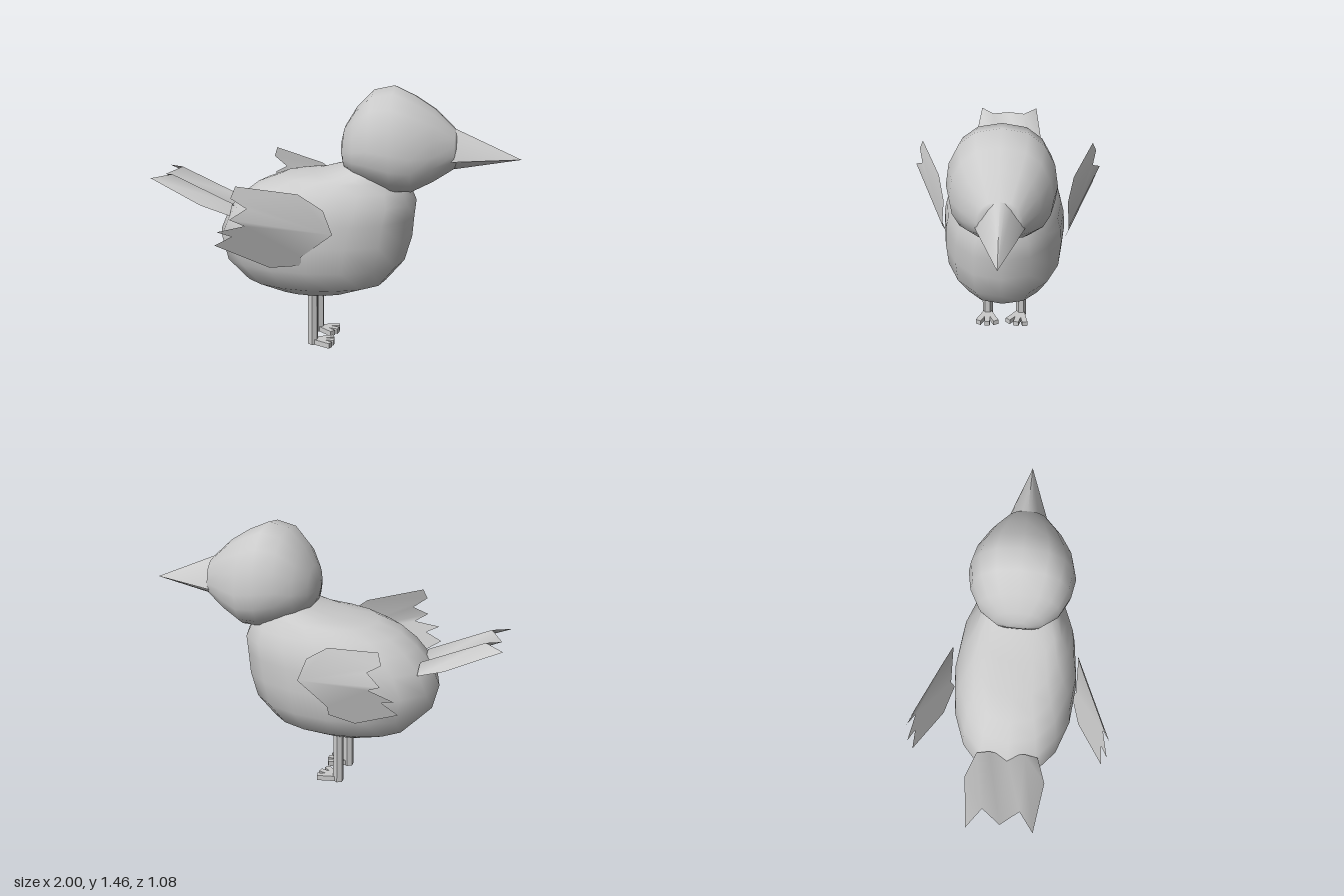
import * as THREE from 'three';
import { mergeGeometries, mergeVertices, toCreasedNormals } from 'three/addons/utils/BufferGeometryUtils.js';

const smooth = new THREE.MeshStandardMaterial({ color: 0xcccccc });
const flat = new THREE.MeshStandardMaterial({ color: 0xcccccc, flatShading: true });
const thin = new THREE.MeshStandardMaterial({ color: 0xcccccc, side: THREE.DoubleSide });
const MID = 0.015; // z of the bird's centre line

function mesh(name, geometry, material) {
  const m = new THREE.Mesh(geometry, material);
  m.name = name;
  return m;
}

// Skin closed rings of equal length (counterclockwise seen from the last one), capping both ends.
function loft(rings) {
  const n = rings[0].length, pos = [], idx = [];
  rings.forEach(r => r.forEach(p => pos.push(...p)));
  for (let i = 0; i < rings.length - 1; i++) {
    for (let j = 0; j < n; j++) {
      const a = i * n + j, b = i * n + (j + 1) % n;
      idx.push(a, b, a + n, b, b + n, a + n);
    }
  }
  [0, rings.length - 1].forEach(i => {
    const c = pos.length / 3;
    pos.push(...[0, 1, 2].map(k => rings[i].reduce((s, p) => s + p[k], 0) / n));
    for (let j = 0; j < n; j++) {
      const a = i * n + j, b = i * n + (j + 1) % n;
      idx.push(...(i ? [c, a, b] : [c, b, a]));
    }
  });
  const g = new THREE.BufferGeometry();
  g.setAttribute('position', new THREE.Float32BufferAttribute(pos, 3));
  g.setIndex(idx);
  g.computeVertexNormals();
  return g;
}

// Sixteen points around a ring; f takes the cosine and sine
const ring16 = f => Array.from({ length: 16 }, (_, j) => f(Math.cos(j * Math.PI / 8), Math.sin(j * Math.PI / 8)));
// Power that keeps the sign: below 1 it makes a rounder, fuller section
const full = (s, e) => Math.sign(s) * Math.abs(s) ** e;

// Body: horizontal sections [y, xBack, xFront, halfWidth]
function body() {
  const rows = [
    [0.28, -0.14, -0.06, 0.03], [0.3, -0.33, 0.1, 0.14], [0.37, -0.5, 0.29, 0.26],
    [0.49, -0.615, 0.39, 0.328], [0.63, -0.65, 0.43, 0.34], [0.75, -0.6, 0.44, 0.333],
    [0.84, -0.52, 0.45, 0.315], [0.91, -0.43, 0.42, 0.275], [0.96, -0.3, 0.4, 0.235],
    [0.98, -0.12, 0.38, 0.21], [1.03, 0.07, 0.34, 0.17], [1.08, 0.16, 0.3, 0.1],
  ];
  return mesh('body', loft(rows.map(([y, x0, x1, w]) => ring16((c, s) =>
    [(x0 + x1) / 2 - (x1 - x0) / 2 * c, y, MID + w * full(s, 0.85)]))), smooth);
}

// Head: upright sections [x, yBottom, yTop, halfWidth], widest below the middle
function head() {
  const rows = [
    [0.04, 1.08, 1.16, 0.05], [0.06, 1.02, 1.24, 0.13], [0.12, 0.98, 1.34, 0.215],
    [0.21, 0.94, 1.435, 0.265], [0.32, 0.9, 1.46, 0.285], [0.43, 0.9, 1.41, 0.262],
    [0.54, 0.955, 1.34, 0.2], [0.65, 1.025, 1.235, 0.115], [0.66, 1.04, 1.21, 0.09],
  ];
  return mesh('head', loft(rows.map(([x, y0, y1, w]) => ring16((c, s) => {
    const h = y1 - y0;
    return [x, y0 + 0.42 * h + (c > 0 ? 0.58 : 0.42) * h * c, MID + w * full(s, c > 0 ? 0.8 : 0.6)];
  }))), smooth);
}

// Half cone from the face to the tip; profile is [z, y] across the base
function beakHalf(name, profile) {
  const ring = (x, k) => profile.map(([z, y]) => [x, 1.08 + y * k, MID + z * k]);
  return mesh(name, toCreasedNormals(loft([ring(0.62, 1.1), ring(0.66, 1), ring(1, 0.005)]), 0.9), smooth);
}

// Flat [x, y] outlines sharing edges, bent into place by a rule returning [x, y, z]
function panels(name, outlines, bend) {
  const parts = outlines.map(o => {
    const g = new THREE.ShapeGeometry(new THREE.Shape(o.map(p => new THREE.Vector2(...p))));
    g.deleteAttribute('uv');
    g.deleteAttribute('normal');
    const p = g.attributes.position;
    for (let i = 0; i < p.count; i++) p.setXYZ(i, ...bend(p.getX(i), p.getY(i)));
    return g;
  });
  const g = mergeVertices(mergeGeometries(parts));
  g.computeVertexNormals();
  return mesh(name, g, thin);
}

// Wing: two panels folded along a ridge from shoulder to middle feather
function wing(name, side) {
  const root = [0.04, 0.717], tip = [-0.46, 0.83];
  const upper = [root, [-0.01, 0.845], [-0.136, 0.936], [-0.436, 0.995], [-0.457, 0.936], [-0.38, 0.88], tip];
  const lower = [root, tip, [-0.39, 0.79], [-0.53, 0.76], [-0.46, 0.73], [-0.55, 0.68],
    [-0.29, 0.53], [-0.13, 0.535], [-0.125, 0.59]];
  return panels(name, [upper, lower], (x, y) => {
    const d = y - (root[1] - 0.226 * (x - root[0]));
    const fold = d > 0 ? 0.23 * d : -0.36 * d;
    return [x, y, 0.005 + side * (0.35 - 0.38 * (x - 0.04) - fold)];
  });
}

// Tail: four strips, creased along the notches between three feathers
function tail() {
  const half = [
    [[-0.56, 0], [-0.56, 0.095], [-0.9, 0.095], [-0.97, 0]],
    [[-0.56, 0.095], [-0.56, 0.165], [-0.71, 0.21], [-1, 0.17], [-0.9, 0.095]],
  ];
  const all = half.concat(half.map(o => o.map(([x, z]) => [x, -z])));
  return panels('tail', all, (x, z) => {
    const raise = Math.max(0, 1 - Math.abs(Math.abs(z) - 0.095) / 0.075) * 0.055;
    return [x, 0.94 - 0.455 * (x + 1) + raise, MID - 0.005 + z];
  });
}

// Leg with a foot of three toes
function leg(name, z, turn) {
  const group = new THREE.Group();
  group.name = name;
  group.position.set(-0.11, 0, z);
  const shank = mesh('shank', new THREE.CylinderGeometry(0.03, 0.03, 0.36, 6), flat);
  shank.position.y = 0.18;
  group.add(shank);
  [-0.45, 0, 0.45].forEach(a => {
    const g = new THREE.BoxGeometry(0.125, 0.03, 0.032);
    g.translate(0.058, 0.015, 0);
    const toe = mesh('toe', g, flat);
    toe.rotation.y = a + turn;
    group.add(toe);
  });
  return group;
}

export function createModel() {
  const bird = new THREE.Group();
  bird.name = 'bird';
  bird.add(body(), head());
  bird.add(beakHalf('upperBeak', [[-0.115, 0], [-0.1, 0.04], [-0.055, 0.115], [-0.025, 0.145], [0, 0.152],
    [0.025, 0.145], [0.055, 0.115], [0.1, 0.04], [0.115, 0]]));
  bird.add(beakHalf('lowerBeak', [[0.088, 0], [0.065, -0.035], [0.03, -0.055], [-0.03, -0.055],
    [-0.065, -0.035], [-0.088, 0]]));
  bird.add(wing('rightWing', 1), wing('leftWing', -1), tail());
  bird.add(leg('rightLeg', MID + 0.1, 0), leg('leftLeg', MID - 0.1, -0.25));
  return bird;
}
